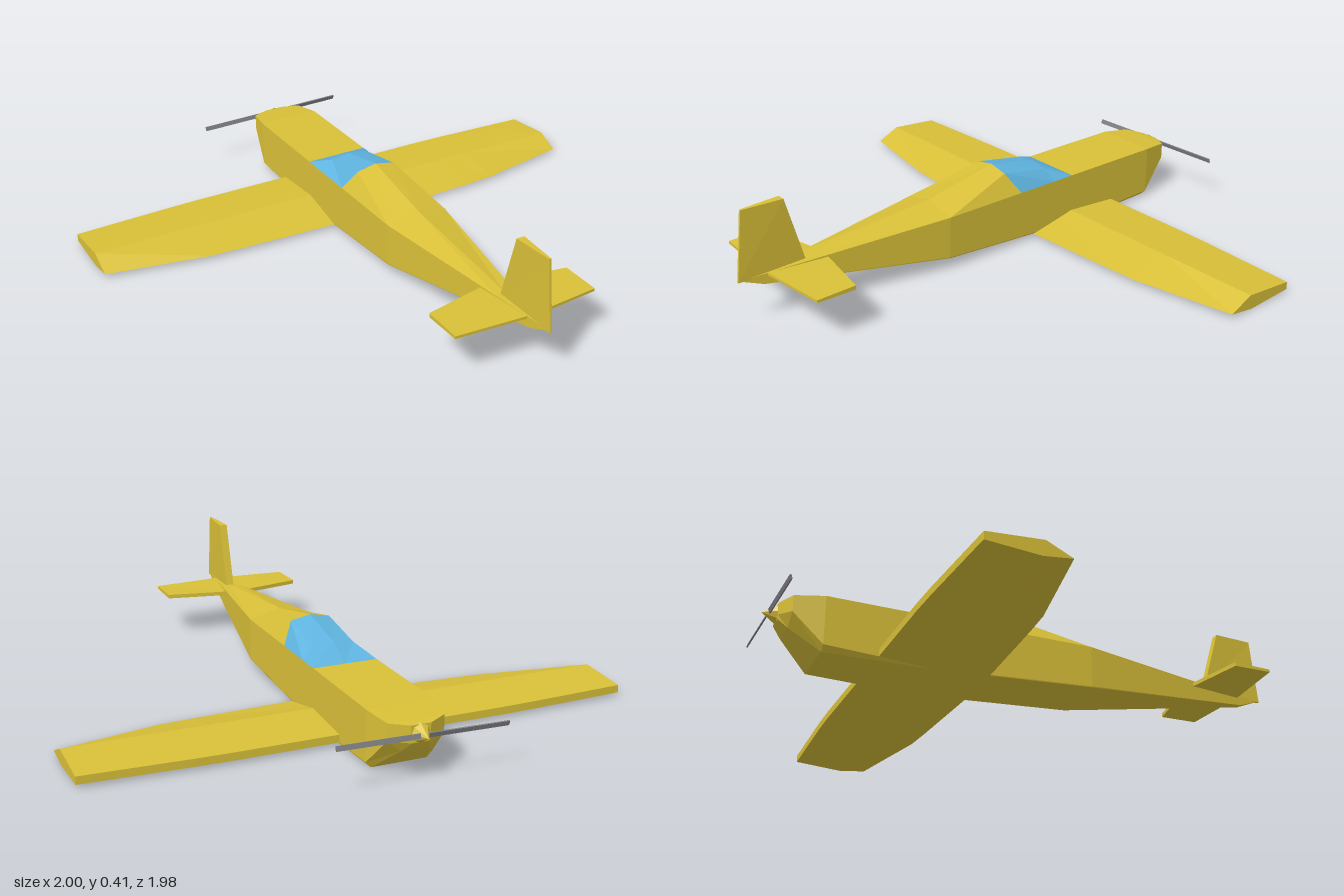
import * as THREE from 'three';

const paint = new THREE.MeshStandardMaterial({ color: 0xd9c038, flatShading: true });
const glass = new THREE.MeshStandardMaterial({ color: 0x5fb4e0, flatShading: true });
const metal = new THREE.MeshStandardMaterial({ color: 0x808088, flatShading: true });

// Flat-faced skin through closed rings, capped at both ends.
// Rings run counter-clockwise seen from the end the loft moves towards.
function loft(name, rings, material) {
  const pos = [];
  const tri = (a, b, c) => pos.push(...a, ...b, ...c);
  const n = rings[0].length;
  for (let r = 0; r < rings.length - 1; r++) {
    const a = rings[r], b = rings[r + 1];
    for (let i = 0; i < n; i++) {
      const j = (i + 1) % n;
      tri(a[i], a[j], b[j]);
      tri(a[i], b[j], b[i]);
    }
  }
  const first = rings[0], last = rings[rings.length - 1];
  for (let i = 1; i < n - 1; i++) {
    tri(first[0], first[i + 1], first[i]);
    tri(last[0], last[i], last[i + 1]);
  }
  const geo = new THREE.BufferGeometry();
  geo.setAttribute('position', new THREE.Float32BufferAttribute(pos, 3));
  geo.computeVertexNormals();
  const mesh = new THREE.Mesh(geo, material);
  mesh.name = name;
  return mesh;
}

// Half ring (x >= 0, bottom to top) completed by its mirror image
function mirrorRing(half) {
  const other = half.filter(p => p[0] > 0).reverse().map(([x, y, z]) => [-x, y, z]);
  return [...half, ...other];
}

// Span stations given for x >= 0, continued to the other side
function mirrorSpan(stations) {
  return [...stations.slice(1).reverse().map(([x, ...r]) => [-x, ...r]), ...stations];
}

export function createModel() {
  const model = new THREE.Group();
  model.name = 'airplane';

  // Fuselage: z, bottom half width, bottom y, side half width, chine y, top y
  const hull = [
    [-0.94, 0.03, 0.125, 0.035, 0.14, 0.185],
    [-0.907, 0.05, 0.09, 0.1, 0.13, 0.19],
    [-0.8, 0.1, 0, 0.12, 0.02, 0.2],
    [-0.4, 0.118, 0, 0.12, 0.004, 0.2],
    [0.2, 0.119, 0.04, 0.12, 0.044, 0.2],
    [0.9, 0.012, 0.13, 0.012, 0.133, 0.167],
    [0.985, 0.001, 0.163, 0.001, 0.164, 0.166],
  ];
  model.add(loft('fuselage', hull.map(([z, wb, yb, w, yc, yt]) =>
    mirrorRing([[wb, yb, z], [w, yc, z], [w, yt, z]])), paint));

  // Canopy and the deck behind it share the slanted frame
  const frame = mirrorRing([[0.12, 0.2, -0.135], [0.075, 0.275, -0.09], [0, 0.29, -0.09]]);
  model.add(loft('canopy', [
    mirrorRing([[0.12, 0.2, -0.39], [0.12, 0.2, -0.39], [0, 0.2, -0.39]]),
    mirrorRing([[0.12, 0.2, -0.3], [0.075, 0.24, -0.29], [0, 0.25, -0.29]]),
    frame,
  ], glass));
  model.add(loft('rearDeck', [
    frame,
    mirrorRing([[0.12, 0.2, 0.2], [0.12, 0.2, 0.2], [0, 0.23, 0.2]]),
    mirrorRing([[0.036, 0.174, 0.745], [0.036, 0.174, 0.745], [0, 0.176, 0.745]]),
  ], paint));

  // Wing: x, leading z, trailing z
  const wing = mirrorSpan([
    [0, -0.605, -0.195], [0.5, -0.605, -0.217], [0.62, -0.602, -0.225], [1, -0.585, -0.3],
  ]);
  model.add(loft('wing', wing.map(([x, lead, trail]) => [
    [x, 0.012, lead], [x, 0.04, lead], [x, 0.055, -0.39], [x, 0.013, trail], [x, 0, -0.4],
  ]), paint));

  // Tailplane: x, leading z, trailing z
  const tail = mirrorSpan([[0, 0.66, 0.887], [0.275, 0.715, 0.865]]);
  model.add(loft('tailplane', tail.map(([x, lead, trail]) => [
    [x, 0.156, lead], [x, 0.171, lead], [x, 0.168, trail], [x, 0.158, trail],
  ]), paint));

  // Fin: y, leading z, trailing z, thinner towards the rear
  const fin = [[0.16, 0.735, 0.992], [0.415, 0.81, 0.965]];
  model.add(loft('fin', fin.map(([y, lead, trail]) => [
    [-0.015, y, lead], [-0.004, y, trail], [0.004, y, trail], [0.015, y, lead],
  ]), paint));

  // Spinner
  const spinner = new THREE.Mesh(new THREE.ConeGeometry(0.035, 0.055, 8), paint);
  spinner.name = 'spinner';
  spinner.rotation.x = -Math.PI / 2;
  spinner.position.set(0, 0.155, -0.963);
  model.add(spinner);

  // Two pitched propeller blades
  const propeller = new THREE.Group();
  propeller.name = 'propeller';
  for (const side of [-1, 1]) {
    const blade = new THREE.Mesh(new THREE.BoxGeometry(0.285, 0.017, 0.005), metal);
    blade.name = 'propellerBlade';
    blade.position.x = side * 0.1575;
    blade.rotation.x = side * 0.3;
    propeller.add(blade);
  }
  propeller.position.set(0, 0.157, -0.966);
  propeller.rotation.z = 0.02;
  model.add(propeller);

  return model;
}
